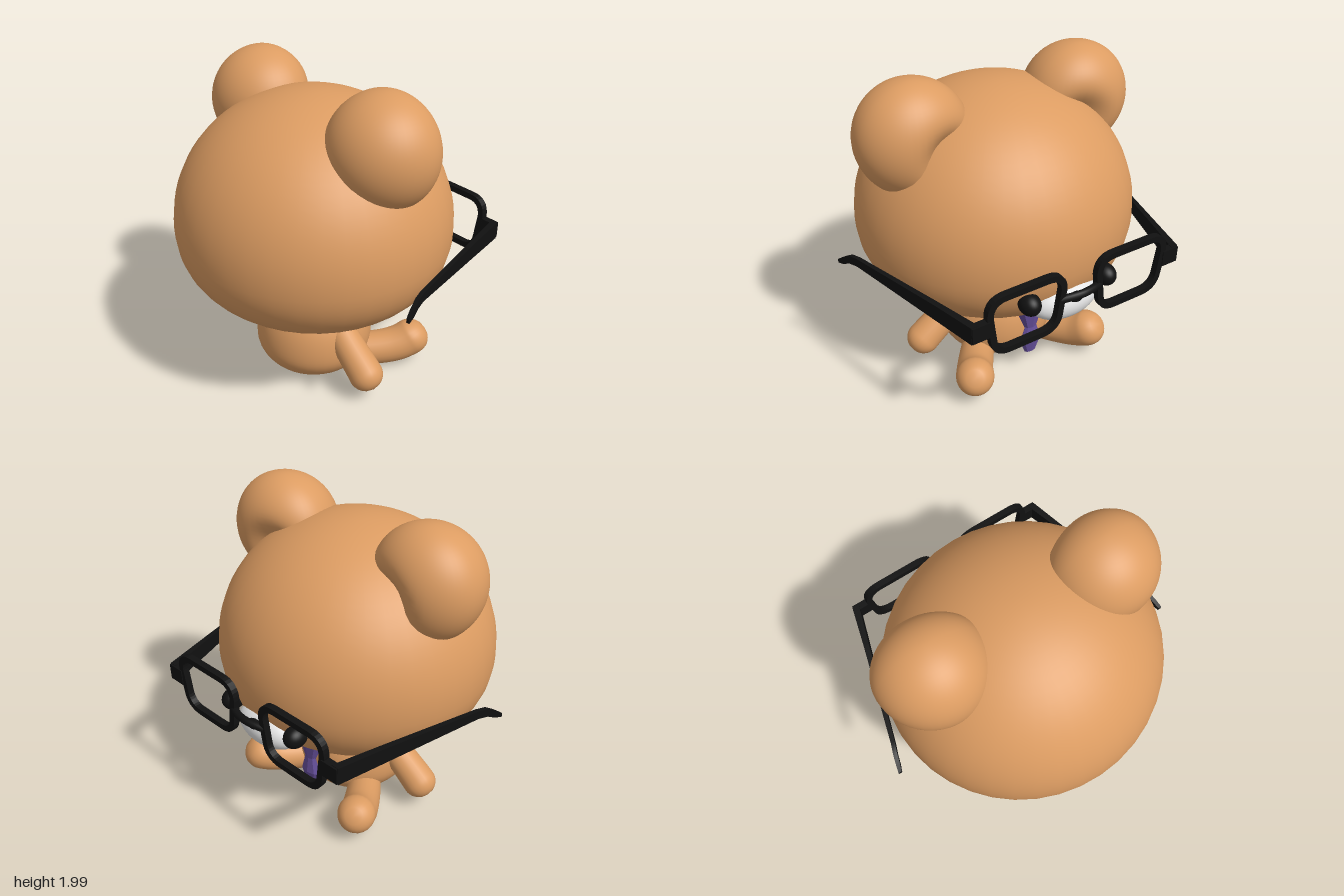
import * as THREE from 'three';
import { mergeVertices } from 'three/addons/utils/BufferGeometryUtils.js';

const mat = (name, color) => {
  const m = new THREE.MeshStandardMaterial({ color });
  m.name = name;
  return m;
};

// Weld coincident vertices so the shading is smooth across seams
function smooth(geo) {
  geo.deleteAttribute('uv');
  geo.deleteAttribute('normal');
  const g = mergeVertices(geo, 1e-5);
  g.computeVertexNormals();
  return g;
}

// Rounded limb along a path, radius going from r0 to r1, with domed ends
function limbGeometry(points, r0, r1) {
  const curve = new THREE.CatmullRomCurve3(points.map(p => new THREE.Vector3(...p)));
  const n = 56, sides = 24, length = curve.getLength();
  const geo = new THREE.TubeGeometry(curve, n, 1, sides);
  const pos = geo.attributes.position, v = new THREE.Vector3();
  for (let i = 0; i <= n; i++) {
    const u = i / n, c = curve.getPointAt(u);
    let r = r0 + (r1 - r0) * u;
    const d = Math.min(u, 1 - u) * length;
    if (d < r) r = Math.sqrt(Math.max(0, r * r - (r - d) ** 2));
    for (let j = 0; j <= sides; j++) {
      const k = i * (sides + 1) + j;
      v.fromBufferAttribute(pos, k).sub(c).multiplyScalar(r).add(c);
      pos.setXYZ(k, v.x, v.y, v.z);
    }
  }
  return smooth(geo);
}

// Ball ear, flatter at the face side with a scooped hollow next to the head
function earGeometry(s) {
  const geo = new THREE.SphereGeometry(0.33, 48, 36);
  const pos = geo.attributes.position;
  for (let i = 0; i < pos.count; i++) {
    const x = pos.getX(i), y = pos.getY(i);
    let z = pos.getZ(i);
    if (z < 0) {
      const d2 = (x * s + 0.11) ** 2 + (y + 0.06) ** 2;
      const hollow = 0.13 * Math.exp(-d2 / 0.018) * Math.min(1, -z / 0.15);
      z = z * 0.83 + hollow;
    }
    pos.setZ(i, z);
  }
  return smooth(geo);
}

// Bar with box sections [x, y, z, width, height], mirrored by s
function barGeometry(sections, s) {
  const n = sections.length - 1;
  const geo = new THREE.BoxGeometry(1, 1, 1, 1, 1, n);
  const pos = geo.attributes.position;
  for (let i = 0; i < pos.count; i++) {
    const [x, y, z, w, h] = sections[Math.round((pos.getZ(i) + 0.5) * n)];
    pos.setXYZ(i, s * x + pos.getX(i) * w, y + pos.getY(i) * h, z);
  }
  geo.computeVertexNormals();
  return geo;
}

// Rounded lens outline, a little narrower at the bottom
function lensOutline(target, inset) {
  const t = 0.25 - inset, b = 0.22 - inset, h = 0.195 - inset, r = 0.12 - inset;
  target.moveTo(-b + r, -h);
  target.lineTo(b - r, -h);
  target.quadraticCurveTo(b, -h, b + 0.01, -h + r);
  target.lineTo(t, h - r);
  target.quadraticCurveTo(t, h, t - r, h);
  target.lineTo(-t + r, h);
  target.quadraticCurveTo(-t, h, -t, h - r);
  target.lineTo(-b - 0.01, -h + r);
  target.quadraticCurveTo(-b, -h, -b + r, -h);
  return target;
}

export function createModel() {
  const fur = mat('fur', 0xdc9c62);
  const black = mat('black', 0x111111);
  const white = mat('muzzle white', 0xe4e4e4);
  const purple = mat('tie purple', 0x66509c);
  purple.flatShading = true;

  const model = new THREE.Group();
  model.name = 'bear';
  const add = (name, geo, material, x = 0, y = 0, z = 0) => {
    const mesh = new THREE.Mesh(geo, material);
    mesh.name = name;
    mesh.position.set(x, y, z);
    model.add(mesh);
    return mesh;
  };
  const ball = (name, material, p, r) => {
    const mesh = add(name, new THREE.SphereGeometry(1, 32, 24), material, ...p);
    mesh.scale.set(...r);
    return mesh;
  };

  // Head: domed on top, fuller cheeks below
  const headProfile = [];
  for (let i = 0; i <= 40; i++) {
    const a = (i / 40 - 0.5) * Math.PI;
    const e = a < 0 ? 2 / 2.3 : 1;
    const y = Math.sign(a) * Math.abs(Math.sin(a)) ** e * (a < 0 ? 0.575 : 0.8);
    const r = i % 40 === 0 ? 0 : 0.857 * Math.cos(a) ** e;
    headProfile.push(new THREE.Vector2(r, y));
  }
  add('head', smooth(new THREE.LatheGeometry(headProfile, 40)), fur, 0, 1.07, 0.055)
    .scale.z = 0.975;

  // Body
  const bodyCurve = new THREE.SplineCurve([
    [0, 0.008], [0.16, 0.018], [0.28, 0.06], [0.355, 0.15], [0.374, 0.25],
    [0.355, 0.38], [0.3, 0.49], [0.2, 0.56], [0, 0.6],
  ].map(p => new THREE.Vector2(...p)));
  const bodyProfile = bodyCurve.getPoints(32);
  bodyProfile.forEach(p => { p.x = Math.max(0, p.x); });
  add('body', smooth(new THREE.LatheGeometry(bodyProfile, 40)), fur, 0, 0, 0.055);

  // Muzzle and nose, on the -z side
  ball('muzzle', white, [0, 0.815, -0.7], [0.22, 0.115, 0.12]).rotation.x = 0.25;
  ball('nose', black, [0, 0.89, -0.81], [0.045, 0.03, 0.03]);

  for (const s of [1, -1]) {
    const side = s > 0 ? 'left' : 'right';
    add(side + 'Ear', earGeometry(s), fur, s * 0.545, 1.67, 0.005);
    ball(side + 'Eye', black, [s * 0.26, 0.895, -0.735], [0.062, 0.065, 0.075]);

    // Limbs
    const arm = [[0.18, 0.45, 0.06], [0.37, 0.305, 0.07], [0.53, 0.185, 0.07], [0.61, 0.115, 0.07]];
    const leg = [[0.08, 0.125, 0.06], [0.27, 0.115, -0.17], [0.38, 0.14, -0.33],
      [0.43, 0.185, -0.42], [0.475, 0.25, -0.495]];
    const mirror = pts => pts.map(([x, y, z]) => [s * x, y, z]);
    add(side + 'Arm', limbGeometry(mirror(arm), 0.09, 0.11), fur);
    add(side + 'Leg', limbGeometry(mirror(leg), 0.1, 0.122), fur);

    // Glasses: rim, hinge and temple with a hooked end
    const rim = lensOutline(new THREE.Shape(), 0);
    rim.holes.push(lensOutline(new THREE.Path(), 0.038));
    const rimGeo = new THREE.ExtrudeGeometry(rim, { depth: 0.04, bevelEnabled: false, curveSegments: 8 });
    add(side + 'Rim', rimGeo, black, s * 0.35, 0.937, -0.855);
    add(side + 'Hinge', new THREE.BoxGeometry(0.11, 0.1, 0.045), black, s * 0.635, 0.95, -0.838);
    add(side + 'Temple', barGeometry([
      [0.67, 0.948, -0.85, 0.045, 0.11], [0.745, 0.95, -0.58, 0.035, 0.1],
      [0.92, 0.955, 0.04, 0.026, 0.055], [0.942, 0.948, 0.1, 0.026, 0.055],
      [0.96, 0.915, 0.155, 0.026, 0.05], [0.976, 0.892, 0.2, 0.022, 0.025],
    ], s), black);
  }

  // Glasses bridge
  const bridge = new THREE.CatmullRomCurve3([
    [-0.13, 0.94, -0.838], [-0.07, 0.95, -0.86], [0, 0.955, -0.872],
    [0.07, 0.95, -0.86], [0.13, 0.94, -0.838],
  ].map(p => new THREE.Vector3(...p)));
  add('bridge', new THREE.TubeGeometry(bridge, 20, 0.023, 10), black);

  // Tie: flared top and pointed lower blade
  const flare = add('tieTop', new THREE.CylinderGeometry(0.095, 0.042, 0.14, 8), purple, 0, 0.437, -0.368);
  flare.scale.z = 0.7;
  flare.rotation.x = 0.1;
  const blade = [[0, 0.16], [0.04, 0.17], [0.074, 0.26], [0.04, 0.375], [0, 0.38]];
  add('tieBlade', new THREE.LatheGeometry(blade.map(p => new THREE.Vector2(...p)), 8), purple, 0, 0, -0.38)
    .scale.z = 0.5;

  return model;
}
